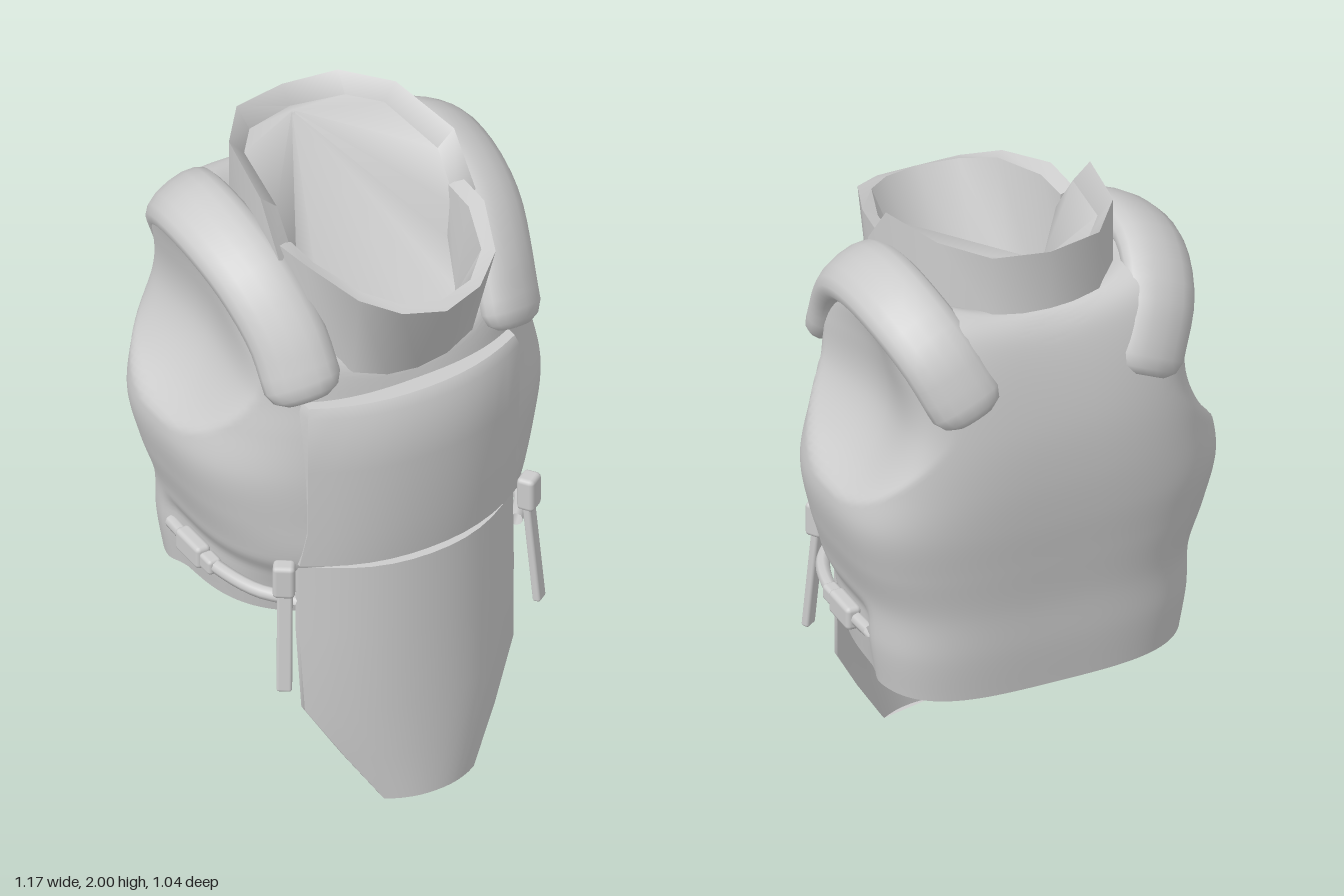
import * as THREE from 'three';
import { toCreasedNormals } from 'three/addons/utils/BufferGeometryUtils.js';
import { RoundedBoxGeometry } from 'three/addons/geometries/RoundedBoxGeometry.js';

const V = (x, y, z) => new THREE.Vector3(x, y, z);
const { lerp: mix, smoothstep } = THREE.MathUtils;
const spow = (v, p) => Math.sign(v) * Math.abs(v) ** p;

// Skin closed cross-section loops, with optional end caps
function loft(rings, { capStart = false, capEnd = false, crease = 0.7 } = {}) {
  const n = rings[0].length, pts = rings.flat(), idx = [];
  for (let i = 0; i < rings.length - 1; i++)
    for (let j = 0; j < n; j++) {
      const a = i * n + j, b = i * n + (j + 1) % n, c = a + n, d = b + n;
      idx.push(a, c, b, b, c, d);
    }
  const cap = (i, flip) => {
    const center = rings[i].reduce((s, p) => s.add(p), V(0, 0, 0)).divideScalar(n);
    const k = pts.push(center) - 1;
    for (let j = 0; j < n; j++) {
      const a = i * n + j, b = i * n + (j + 1) % n;
      idx.push(k, flip ? b : a, flip ? a : b);
    }
  };
  if (capStart) cap(0, false);
  if (capEnd) cap(rings.length - 1, true);
  const g = new THREE.BufferGeometry().setFromPoints(pts);
  g.setIndex(idx);
  return toCreasedNormals(g, crease);
}

// Torso rings: [front y, back y, half width, front z, back z, shoulder rise]
const TORSO = [
  [0.62, 0.56, 0.48, 0.29, -0.44, 0],
  [0.72, 0.70, 0.50, 0.32, -0.455, 0],
  [0.85, 0.85, 0.51, 0.39, -0.465, 0],
  [1.00, 1.00, 0.555, 0.39, -0.485, 0],
  [1.15, 1.15, 0.585, 0.385, -0.505, 0],
  [1.30, 1.30, 0.56, 0.375, -0.515, 0],
  [1.39, 1.45, 0.54, 0.36, -0.51, 0.02],
  [1.44, 1.60, 0.525, 0.35, -0.485, 0.10],
  [1.46, 1.72, 0.47, 0.345, -0.45, 0.16],
  [1.47, 1.78, 0.37, 0.34, -0.41, 0.14],
  [1.48, 1.80, 0.29, 0.31, -0.37, 0.06],
];
const curveA = new THREE.CatmullRomCurve3(TORSO.map(r => V(r[0], r[1], r[2])), false, 'catmullrom');
const curveB = new THREE.CatmullRomCurve3(TORSO.map(r => V(r[3], r[4], r[5])), false, 'catmullrom');

function torsoRing(t, count = 120) {
  const { x: yf, y: yb, z: w } = curveA.getPoint(t);
  const { x: zf, y: zb, z: rise } = curveB.getPoint(t);
  const zc = mix(zf, zb, 0.55);
  const backPower = mix(3.4, 2.2, smoothstep(t, 0.68, 1));
  return Array.from({ length: count }, (_, j) => {
    const a = j / count * Math.PI * 2, c = Math.cos(a), s = Math.sin(a);
    const p = 2 / (s > 0 ? 2.5 : backPower);
    let x = w * spow(c, p);
    const z = zc + (s > 0 ? zf - zc : zc - zb) * spow(s, p);
    const y = mix(yf, yb, (zf - z) / (zf - zb)) + rise * (x / w) ** 2;
    // shallow closed armholes
    const q = Math.hypot((z + 0.135) / 0.345, (y - 1.49) / 0.29);
    if (q < 1 && Math.abs(x) > 0.25) x -= Math.sign(x) * 0.12 * (1 - q * q);
    // waist channel for the side straps
    x *= 1 - 0.05 * (1 - smoothstep(y, 0.77, 0.85)) * smoothstep(z, -0.25, -0.17);
    return V(x, y, z);
  });
}

// Curved plate from rows [y, half width, centre z, edge z], listed top to bottom
function plate(rows, thick) {
  const N = 12;
  return loft(rows.map(([y, w, zc, ze]) => {
    const arc = back => Array.from({ length: N + 1 }, (_, i) => {
      const u = (i / N * 2 - 1) * (back ? -1 : 1);
      return V(w * u, y, mix(zc, ze, Math.abs(u) ** 2.2) - (back ? thick : 0));
    });
    return [...arc(false), ...arc(true)];
  }), { capStart: true, capEnd: true });
}

// Mirror a half row of collar sections across x = 0
const mirrorX = half => [
  ...half,
  ...half.slice(0, -1).reverse().map(s => s.map(p => V(-p.x, p.y, p.z))),
];

// Wide padded roll swept over the shoulder
function shoulderRoll() {
  const path = new THREE.CatmullRomCurve3([
    V(0.35, 1.5, 0.295), V(0.362, 1.63, 0.225), V(0.39, 1.755, 0.1), V(0.405, 1.815, -0.06),
    V(0.4, 1.815, -0.23), V(0.355, 1.73, -0.38), V(0.29, 1.585, -0.445)]);
  const hub = V(0.15, 1.3, -0.1), rings = [], steps = 20;
  for (let i = 0; i <= steps; i++) {
    const t = i / steps, p = path.getPoint(t), T = path.getTangent(t);
    const N = p.clone().sub(hub);
    N.addScaledVector(T, -N.dot(T)).normalize();
    const B = N.clone().cross(T);
    const ring = (k, shift) => Array.from({ length: 16 }, (_, j) => {
      const a = j / 16 * Math.PI * 2;
      return p.clone().addScaledVector(T, shift)
        .addScaledVector(N, 0.06 * k * spow(Math.cos(a), 0.9))
        .addScaledVector(B, 0.115 * k * spow(Math.sin(a), 0.9));
    });
    if (i === 0) rings.push(ring(0.55, -0.055), ring(0.85, -0.035));
    rings.push(ring(1, 0));
    if (i === steps) rings.push(ring(0.85, 0.035), ring(0.55, 0.055));
  }
  return loft(rings, { capStart: true, capEnd: true, crease: 0.9 });
}

export function createModel() {
  const group = new THREE.Group();
  const grey = new THREE.MeshStandardMaterial({ color: 0xcccccc, side: THREE.DoubleSide });
  grey.name = 'plainGrey';
  const add = (name, geo, parent = group) => {
    const m = new THREE.Mesh(geo, grey);
    m.name = name;
    parent.add(m);
    return m;
  };

  // Torso shell and its slightly recessed underside
  const steps = 90;
  add('torso', loft(Array.from({ length: steps + 1 }, (_, i) => torsoRing(i / steps)), { crease: 0.9 }));
  const hem = torsoRing(0);
  const recessed = hem.map(p => V(p.x * 0.93, p.y + 0.025, -0.07 + (p.z + 0.07) * 0.93));
  add('underside', loft([recessed, hem], { capStart: true }));

  // Chest panel and hanging front apron
  add('chestPanel', plate([
    [1.42, 0.345, 0.41, 0.325], [1.39, 0.355, 0.433, 0.335], [1.2, 0.355, 0.44, 0.335],
    [0.97, 0.35, 0.432, 0.325], [0.85, 0.365, 0.42, 0.305]], 0.08));
  add('frontApron', plate([
    [0.84, 0.36, 0.435, 0.29], [0.6, 0.36, 0.44, 0.295], [0.33, 0.35, 0.45, 0.31],
    [0.16, 0.25, 0.455, 0.37], [0.005, 0.15, 0.462, 0.42]], 0.02));

  // Standing collar: [outer x, outer z, inner x, inner z, bottom y, top y]
  const backHalf = [
    [0.33, 0.13, 0.27, 0.13, 1.72, 1.83], [0.325, 0.02, 0.27, 0.02, 1.70, 1.975],
    [0.28, -0.23, 0.235, -0.22, 1.74, 2.0], [0.17, -0.37, 0.16, -0.315, 1.79, 1.995],
    [0, -0.4, 0, -0.355, 1.8, 1.99],
  ].map(([ox, oz, ix, iz, b, t]) =>
    [V(ox, b, oz), V(ox, t, oz), V(ix, t - 0.05, iz), V(ix, b, iz)]);
  add('backCollar', loft(mirrorX(backHalf), { capStart: true, capEnd: true, crease: 0.9 }));

  // Flared front collar: outer bottom, outer top, inner top, inner bottom
  const frontHalf = [
    [V(0.30, 1.66, 0.09), V(0.31, 1.85, 0.09), V(0.265, 1.84, 0.09), V(0.26, 1.66, 0.09)],
    [V(0.28, 1.57, 0.22), V(0.30, 1.86, 0.23), V(0.26, 1.84, 0.21), V(0.22, 1.56, 0.20)],
    [V(0.20, 1.50, 0.33), V(0.23, 1.82, 0.41), V(0.20, 1.82, 0.38), V(0.18, 1.51, 0.26)],
    [V(0.10, 1.47, 0.355), V(0.13, 1.785, 0.49), V(0.115, 1.795, 0.46), V(0.09, 1.48, 0.28)],
    [V(0, 1.46, 0.36), V(0, 1.765, 0.52), V(0, 1.785, 0.49), V(0, 1.47, 0.29)],
  ];
  add('frontCollar', loft(mirrorX(frontHalf).reverse(), { capStart: true, capEnd: true, crease: 0.9 }));

  // Lining that closes the neck, sloping down from the back edge to the front
  const frontRim = mirrorX(frontHalf).map(s => s[3]).reverse();
  const backRim = mirrorX(backHalf).map(s => s[2]);
  const rim = [...backRim, ...frontRim].reverse();
  const nape = rim.map(p => V(p.x * 0.02, mix(1.93, p.y, 0.02), mix(-0.345, p.z, 0.02)));
  add('neckLining', loft([rim, nape], { capEnd: true, crease: 1.2 }));

  // Shoulder rolls, straps and buckles, mirrored
  for (const side of [1, -1]) {
    const half = new THREE.Group();
    half.name = side > 0 ? 'leftFittings' : 'rightFittings';
    half.scale.x = side;
    group.add(half);
    add('shoulderRoll', shoulderRoll(), half);

    const block = add('strapBuckle', new RoundedBoxGeometry(0.065, 0.11, 0.055, 2, 0.014), half);
    block.position.set(0.411, 0.815, 0.295);
    block.rotation.y = 0.6;
    const tail = add('hangingStrap', new RoundedBoxGeometry(0.045, 0.35, 0.025, 2, 0.008), half);
    tail.position.set(0.418, 0.615, 0.31);
    tail.rotation.set(-0.1, 0.6, 0, 'YXZ');

    const line = new THREE.CatmullRomCurve3([
      V(0.37, 0.725, 0.29), V(0.44, 0.725, 0.2), V(0.485, 0.73, 0.06), V(0.49, 0.73, -0.08), V(0.485, 0.73, -0.21)]);
    add('sideStrap', new THREE.TubeGeometry(line, 16, 0.021, 8), half);
    const buckle = add('sideBuckle', new RoundedBoxGeometry(0.05, 0.075, 0.13, 2, 0.015), half);
    buckle.position.set(0.497, 0.73, -0.07);
    const tip = add('sideBuckleTip', new RoundedBoxGeometry(0.045, 0.05, 0.06, 2, 0.012), half);
    tip.position.set(0.493, 0.73, 0.02);
  }
  return group;
}
